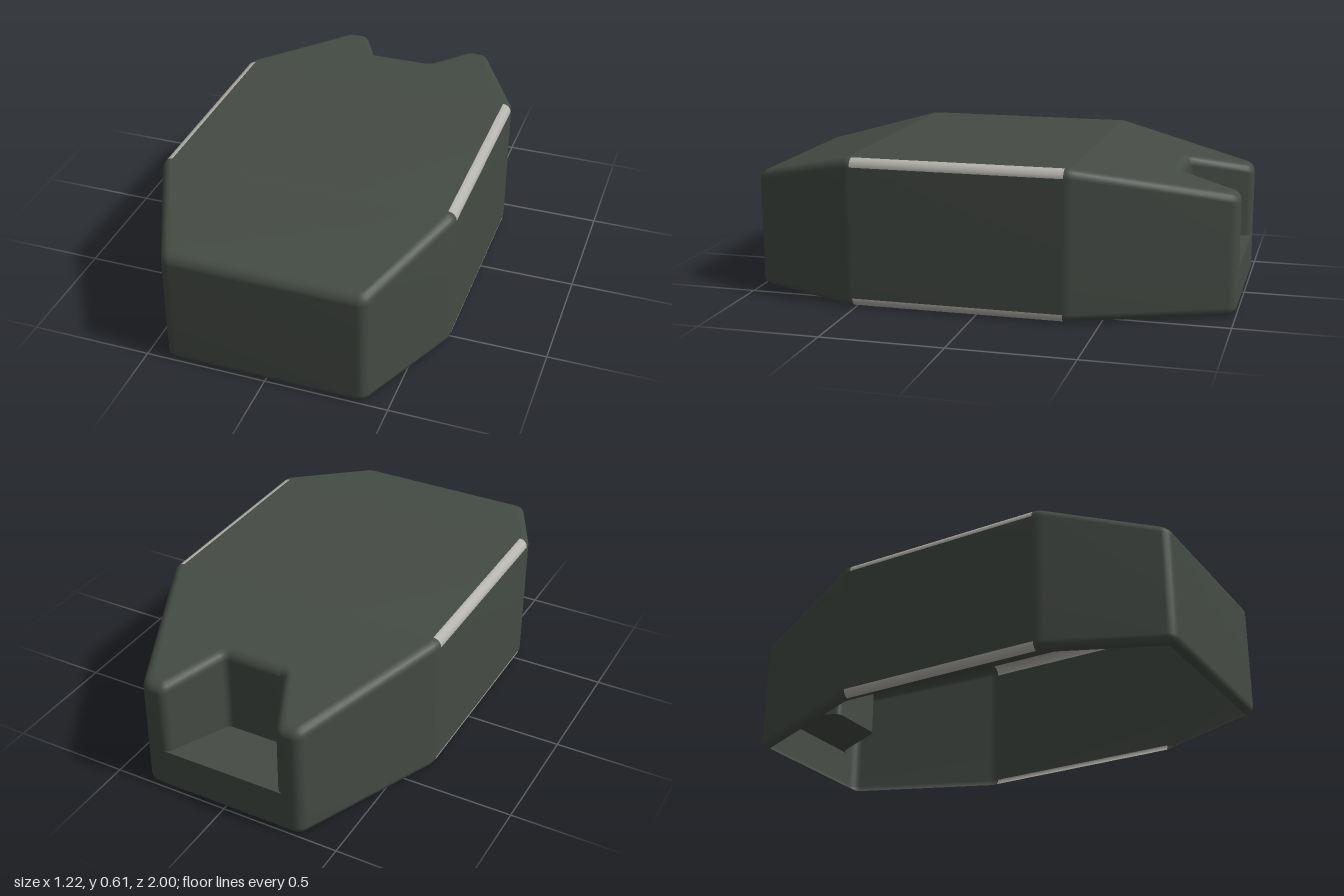
import * as THREE from 'three';

const BEVEL = 0.035, STEPS = 4, FLOOR = 0.185;

// Right half of the plan: [x, z, corner radius], from the rear notch round to the front
const CORNERS = [
  [0.13, -0.74, 0.03], [0.25, -1, 0.04], [0.345, -1, 0.05],
  [0.61, -0.375, 0.1], [0.61, 0.535, 0.1], [0.405, 1, 0.05],
];
const ARC = 4; // segments per rounded corner

// Top height: flat in the middle, sloping down to both ends
const topY = z => 0.61 - 0.25 * Math.max(0, z - 0.535) - 0.19 * Math.max(0, -0.375 - z);

// Rounded plan outline, each point with its outward normal
function makeOutline() {
  const half = [];
  const pts = [[-CORNERS[0][0], CORNERS[0][1]], ...CORNERS, [-CORNERS[5][0], CORNERS[5][1]]];
  const normal = (a, b) => {
    const l = Math.hypot(b[0] - a[0], b[1] - a[1]);
    return [(b[1] - a[1]) / l, -(b[0] - a[0]) / l];
  };
  for (let i = 1; i <= CORNERS.length; i++) {
    const [x, z, r] = pts[i];
    const n0 = normal(pts[i - 1], pts[i]), n1 = normal(pts[i], pts[i + 1]);
    const turn = Math.atan2(n0[0] * n1[1] - n0[1] * n1[0], n0[0] * n1[0] + n0[1] * n1[1]);
    const s = Math.sign(turn) * r;
    const k = s / (1 + Math.cos(turn));
    const cx = x - k * (n0[0] + n1[0]), cz = z - k * (n0[1] + n1[1]);
    const start = Math.atan2(n0[1], n0[0]);
    for (let j = 0; j <= ARC; j++) {
      const a = start + turn * j / ARC, nx = Math.cos(a), nz = Math.sin(a);
      half.push({ x: cx + s * nx, z: cz + s * nz, nx, nz });
    }
  }
  const mirrored = half.map(p => ({ ...p, x: -p.x, nx: -p.nx })).reverse();
  return [...half, ...mirrored];
}

// Triangulates a flat patch seen from above, wound to face up
function patch(points) {
  const v = points.map(p => new THREE.Vector2(p.x, p.z));
  return THREE.ShapeUtils.triangulateShape(v, []).map(([a, b, c]) => {
    const up = (v[b].y - v[a].y) * (v[c].x - v[a].x) - (v[b].x - v[a].x) * (v[c].y - v[a].y);
    return up > 0 ? [a, b, c] : [a, c, b];
  });
}

function makeShell(outline) {
  const n = outline.length;
  const mirror = i => n - 1 - i;
  const pos = [], bodyFaces = [], trimFaces = [];
  const addRing = (inset, height) => {
    const base = pos.length / 3;
    for (const p of outline) {
      const x = p.x - inset * p.nx, z = p.z - inset * p.nz;
      pos.push(x, height(z), z);
    }
    return base;
  };
  const sideEdge = 4 * (ARC + 1) - 1; // straight run along each flank
  const isFlank = i => i === sideEdge || i === mirror(sideEdge + 1);
  const wall = (lo, hi, i, j, trim) => {
    const list = trim && isFlank(i) ? trimFaces : bodyFaces;
    list.push(lo + i, hi + i, hi + j, lo + i, hi + j, lo + j);
  };

  // Upper walls, including the notch, and the rounded top edge
  const floorRing = addRing(0, () => FLOOR);
  let ring = floorRing;
  for (let k = 0; k <= STEPS; k++) {
    const a = k / STEPS * Math.PI / 2;
    const next = addRing(BEVEL * (1 - Math.cos(a)), z => topY(z) - BEVEL * (1 - Math.sin(a)));
    for (let i = 0; i < n; i++) wall(ring, next, i, (i + 1) % n, k > 0);
    ring = next;
  }

  // Lower walls run straight across below the notch, rounded under at the bottom
  const mouth = 2 * (ARC + 1) - 1, last = mirror(mouth);
  let upper = floorRing;
  for (let k = 0; k <= STEPS; k++) {
    const a = k / STEPS * Math.PI / 2;
    const next = addRing(BEVEL * (1 - Math.cos(a)), () => BEVEL * (1 - Math.sin(a)));
    for (let i = mouth; i <= last; i++) {
      wall(next, upper, i, i === last ? mouth : i + 1, k > 0 && k < STEPS);
    }
    upper = next;
  }

  // Top: cross strips for the front and middle, one patch round the notch
  const rear = 3 * (ARC + 1);
  for (let i = rear; i < n / 2 - 1; i++) {
    const r0 = ring + i, r1 = r0 + 1, l0 = ring + mirror(i), l1 = l0 - 1;
    bodyFaces.push(r0, l0, l1, r0, l1, r1);
  }
  const ids = [];
  for (let i = 0; i <= rear; i++) ids.push(i);
  for (let i = mirror(rear); i < n; i++) ids.push(i);
  const at = ids.map(i => ({ x: pos[(ring + i) * 3], z: pos[(ring + i) * 3 + 2] }));
  for (const t of patch(at)) bodyFaces.push(...t.map(k => ring + ids[k]));

  const geo = new THREE.BufferGeometry();
  geo.setAttribute('position', new THREE.Float32BufferAttribute(pos, 3));
  geo.setIndex([...bodyFaces, ...trimFaces]);
  geo.addGroup(0, bodyFaces.length, 0);
  geo.addGroup(bodyFaces.length, trimFaces.length, 1);
  geo.computeVertexNormals();
  return geo;
}

// Floor of the rear notch
function makeNotchFloor(outline) {
  const m = 2 * (ARC + 1);
  const pts = [...outline.slice(0, m), ...outline.slice(-m)];
  const geo = new THREE.BufferGeometry();
  geo.setAttribute('position', new THREE.Float32BufferAttribute(pts.flatMap(p => [p.x, FLOOR, p.z]), 3));
  geo.setIndex(patch(pts).flat());
  geo.computeVertexNormals();
  return geo;
}

export function createModel() {
  const body = new THREE.MeshStandardMaterial({ color: 0x454b45, side: THREE.DoubleSide });
  body.name = 'dark grey green';
  const trim = new THREE.MeshStandardMaterial({ color: 0xb5b3ad, side: THREE.DoubleSide });
  trim.name = 'light grey trim';

  const outline = makeOutline();
  const group = new THREE.Group();
  group.name = 'bevelledHousing';

  const shell = new THREE.Mesh(makeShell(outline), [body, trim]);
  shell.name = 'shell';
  const floor = new THREE.Mesh(makeNotchFloor(outline), body);
  floor.name = 'notchFloor';
  group.add(shell, floor);
  return group;
}
